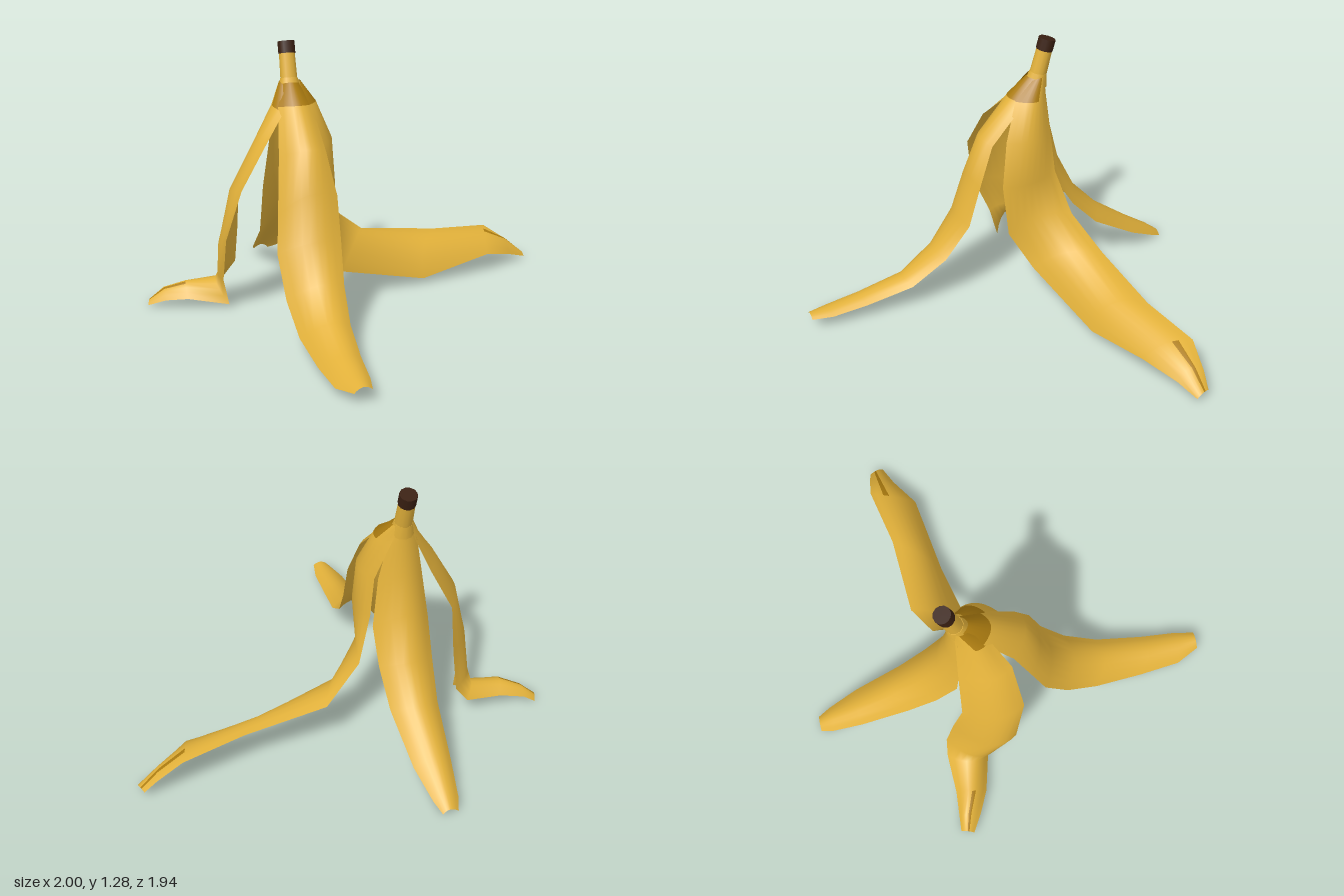
import * as THREE from 'three';

const mat = (name, color, side = THREE.FrontSide) => {
  const m = new THREE.MeshStandardMaterial({ color, side });
  m.name = name;
  return m;
};

// Cross-sections from neck to tip: left edge, outer ridge, right edge (seen from outside)
const FRONT = [
  [-.34, 1.09, -.22, -.3, 1.1, -.19, -.26, 1.09, -.22],
  [-.38, 1, -.14, -.3, 1.01, -.09, -.22, 1, -.14],
  [-.41, .8, -.01, -.3, .84, .07, -.2, .82, .04],
  [-.44, .55, .08, -.31, .65, .14, -.17, .63, .12],
  [-.46, .38, .14, -.32, .44, .2, -.17, .43, .18],
  [-.45, .2, .26, -.32, .28, .32, -.19, .26, .3],
  [-.43, .08, .42, -.32, .16, .49, -.21, .14, .47],
  [-.41, .045, .66, -.32, .11, .72, -.23, .09, .7],
  [-.39, .04, .86, -.31, .09, .88, -.24, .07, .87],
  [-.34, .06, .97, -.3, .085, .97, -.26, .07, .97],
];
const BACK = [
  [-.26, 1.09, -.25, -.3, 1.1, -.28, -.34, 1.09, -.25],
  [-.23, 1, -.25, -.3, 1.02, -.28, -.37, 1, -.25],
  [-.19, .82, -.25, -.3, .85, -.3, -.4, .82, -.25],
  [-.16, .58, -.28, -.3, .66, -.345, -.43, .58, -.28],
  [-.16, .42, -.38, -.29, .46, -.44, -.42, .42, -.38],
  [-.17, .27, -.52, -.29, .31, -.58, -.4, .27, -.52],
  [-.2, .12, -.76, -.3, .17, -.77, -.38, .12, -.76],
  [-.24, .04, -.91, -.3, .085, -.9, -.36, .04, -.91],
  [-.265, .01, -.97, -.3, .03, -.97, -.34, .01, -.97],
];
const LEFT = [
  [-.26, 1.09, -.2, -.25, 1.1, -.24, -.27, 1.09, -.27],
  [-.24, 1.01, -.1, -.19, 1.01, -.18, -.24, 1, -.26],
  [-.19, .83, -.03, -.125, .84, -.14, -.17, .83, -.255],
  [-.17, .6, 0, -.115, .62, -.13, -.15, .64, -.27],
  [-.17, .33, -.03, -.115, .43, -.17, -.08, .42, -.33],
  [-.08, .16, -.12, .03, .28, -.25, .1, .27, -.41],
  [.37, .04, -.21, .4, .19, -.29, .5, .22, -.43],
  [.74, .11, -.27, .76, .18, -.37, .8, .19, -.49],
  [.9, .06, -.36, .9, .12, -.41, .92, .1, -.48],
  [1, .025, -.4, .995, .045, -.43, .98, .04, -.47],
];
const RIGHT = [
  [-.33, 1.09, -.26, -.35, 1.1, -.24, -.34, 1.09, -.2],
  [-.36, 1, -.26, -.4, 1, -.18, -.36, .98, -.11],
  [-.44, .82, -.27, -.5, .84, -.14, -.46, .86, -.03],
  [-.55, .6, -.28, -.62, .62, -.14, -.59, .65, 0],
  [-.55, .38, -.33, -.67, .36, -.18, -.66, .4, -.05],
  [-.56, .18, -.37, -.665, .18, -.26, -.66, .17, -.15],
  [-.62, .1, -.38, -.68, .13, -.27, -.63, .03, -.18],
  [-.8, .08, -.375, -.82, .125, -.3, -.82, .06, -.23],
  [-.92, .05, -.385, -.92, .09, -.34, -.92, .045, -.28],
  [-.98, .01, -.39, -.99, .03, -.36, -1, .01, -.33],
];

const COLS = 8;

// Curved sheet through the sections; isRipe(row, column) picks the darker faces
function peel(name, sections, materials, isRipe) {
  const pos = [], faces = [[], []];
  for (const s of sections) {
    const [l, m, r] = [0, 3, 6].map((i) => new THREE.Vector3(s[i], s[i + 1], s[i + 2]));
    const control = m.clone().multiplyScalar(2).addScaledVector(l, -.5).addScaledVector(r, -.5);
    const arc = new THREE.QuadraticBezierCurve3(l, control, r);
    for (let j = 0; j <= COLS; j++) pos.push(...arc.getPoint(j / COLS).toArray());
  }
  for (let i = 0; i < sections.length - 1; i++) {
    for (let j = 0; j < COLS; j++) {
      const a = i * (COLS + 1) + j, b = a + COLS + 1;
      faces[isRipe(i, j) ? 1 : 0].push(a, b, a + 1, b, b + 1, a + 1);
    }
  }
  const g = new THREE.BufferGeometry();
  g.setAttribute('position', new THREE.Float32BufferAttribute(pos, 3));
  g.setIndex([...faces[0], ...faces[1]]);
  g.addGroup(0, faces[0].length, 0);
  g.addGroup(faces[0].length, faces[1].length, 1);
  g.computeVertexNormals();
  const mesh = new THREE.Mesh(g, materials);
  mesh.name = name;
  return mesh;
}

// Round rod between two points
function rod(name, from, to, r0, r1, material) {
  const a = new THREE.Vector3(...from), b = new THREE.Vector3(...to);
  const mesh = new THREE.Mesh(new THREE.CylinderGeometry(r1, r0, a.distanceTo(b), 12), material);
  mesh.position.copy(a).add(b).multiplyScalar(.5);
  mesh.quaternion.setFromUnitVectors(new THREE.Vector3(0, 1, 0), b.sub(a).normalize());
  mesh.name = name;
  return mesh;
}

export function createModel() {
  const yellow = mat('peelYellow', 0xe2b13a, THREE.DoubleSide);
  const gold = mat('ripeGold', 0xac7c10, THREE.DoubleSide);
  const brown = mat('stemBrown', 0x3a2012);
  const skins = [yellow, gold];

  const group = new THREE.Group();
  group.name = 'bananaPeel';
  group.add(
    // four splayed strips of peel
    peel('frontPeel', FRONT, skins, (i) => i === 0),
    peel('backPeel', BACK, skins, () => false),
    peel('leftPeel', LEFT, skins, (i, j) => (i === 0 && j < 5) || (i > 6 && j === 5)),
    peel('rightPeel', RIGHT, skins, (i, j) => (i === 0 && j > 3) || (i > 6 && j === 4)),
    // stem with its dry end
    rod('stemBase', [-.3, 1.05, -.235], [-.3, 1.11, -.25], .055, .042, yellow),
    rod('stem', [-.3, 1.1, -.248], [-.3, 1.225, -.283], .041, .038, yellow),
    rod('stemTip', [-.3, 1.22, -.281], [-.3, 1.275, -.297], .041, .041, brown),
  );
  return group;
}
